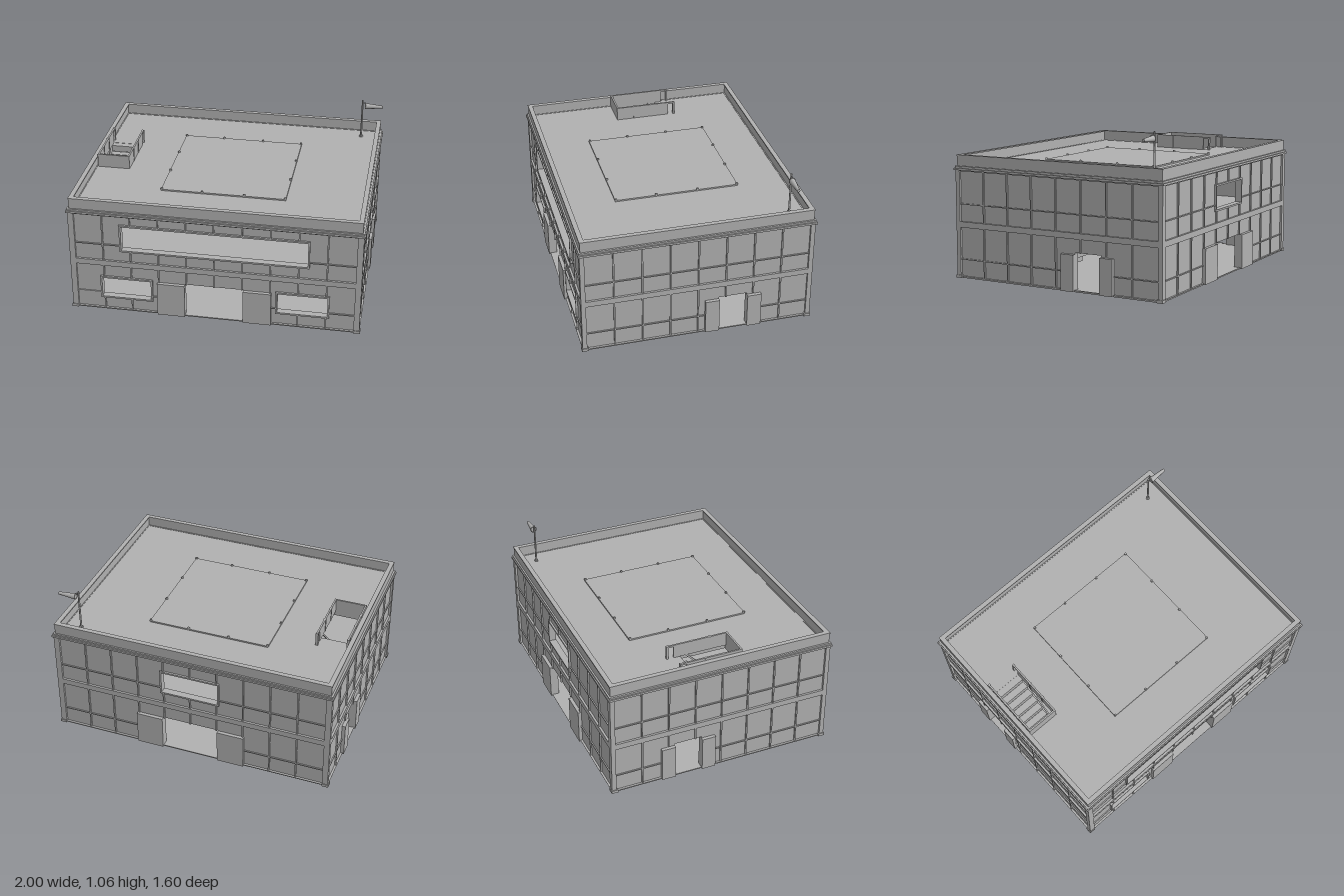
import * as THREE from 'three';

const concrete = new THREE.MeshStandardMaterial({ color: 0xb0b0b0 });
concrete.name = 'concreteGrey';

function add(parent, name, geometry, x = 0, y = 0, z = 0) {
  const mesh = new THREE.Mesh(geometry, concrete);
  mesh.name = name;
  mesh.position.set(x, y, z);
  parent.add(mesh);
  return mesh;
}

// Box given by its minimum and maximum corners
function block(parent, name, x0, x1, y0, y1, z0, z1) {
  return add(parent, name, new THREE.BoxGeometry(x1 - x0, y1 - y0, z1 - z0),
    (x0 + x1) / 2, (y0 + y1) / 2, (z0 + z1) / 2);
}

function rectPath(path, [x0, x1, y0, y1]) {
  path.moveTo(x0, y0);
  path.lineTo(x1, y0);
  path.lineTo(x1, y1);
  path.lineTo(x0, y1);
  path.closePath();
  return path;
}

// Rectangular plate in x-y with rectangular holes, extruded along z
function plate(outer, holes, depth) {
  const shape = rectPath(new THREE.Shape(), outer);
  shape.holes = holes.map(h => rectPath(new THREE.Path(), h));
  return new THREE.ExtrudeGeometry(shape, { depth, bevelEnabled: false });
}

// Horizontal plate: rectangles are [x0, x1, z0, z1]
function slab(parent, name, outer, holes, y0, y1) {
  const flip = ([x0, x1, z0, z1]) => [x0, x1, -z1, -z0];
  const geometry = plate(flip(outer), holes.map(flip), y1 - y0);
  geometry.rotateX(-Math.PI / 2);
  return add(parent, name, geometry, 0, y0, 0);
}

const ring = (parent, name, x, z, t, y0, y1) =>
  slab(parent, name, [-x, x, -z, z], [[-x + t, x - t, -z + t, z - t]], y0, y1);

// Parts of the span a..b left after removing the given gaps
function spans(a, b, gaps) {
  const out = [];
  let start = a;
  for (const [g0, g1] of [...gaps].sort((p, q) => p[0] - q[0])) {
    if (g0 > start) out.push([start, Math.min(g0, b)]);
    start = Math.max(start, g1);
  }
  if (start < b) out.push([start, b]);
  return out;
}

// One facade facing local +z: panel, frame, mullions, door leaves and window frames
function facade({ name, half, dist, angle, margin, bays, door, windows }) {
  const wall = new THREE.Group();
  wall.name = name;
  wall.rotation.y = angle;
  const back = dist - 0.015;
  const doorHole = [door.x - door.half, door.x + door.half, 0.01, door.top];
  const holes = [doorHole, ...windows];
  const inner = half - margin;
  const storeys = [[0.012, 0.35], [0.39, 0.735]];

  add(wall, 'wallPanel', plate([-half + 0.015, half - 0.015, 0, 0.76], holes, 0.035), 0, 0, back - 0.035);
  const leafEnd = door.half + door.leaf;
  const frameHoles = storeys.map(([a, b]) => [-inner, inner, a, b]);
  add(wall, 'wallFrame', plate([-half, half, 0.01, 0.76], frameHoles, 0.015), 0, 0, back);

  // Mullion grid, interrupted at every opening
  const blocked = [[door.x - leafEnd, door.x + leafEnd, 0, door.top], ...windows];
  for (const [y0, y1] of storeys) {
    for (let i = 1; i < bays; i++) {
      const x = -inner + (2 * inner * i) / bays;
      const gaps = blocked.filter(h => x > h[0] && x < h[1]).map(h => [h[2], h[3]]);
      for (const [a, b] of spans(y0, y1, gaps))
        block(wall, 'verticalMullion', x - 0.005, x + 0.005, a, b, back, back + 0.01);
    }
    const y = y0 + (y1 - y0) * 0.35;
    const gaps = blocked.filter(h => y > h[2] && y < h[3]).map(h => [h[0], h[1]]);
    for (const [a, b] of spans(-inner, inner, gaps))
      block(wall, 'horizontalMullion', a, b, y - 0.004, y + 0.004, back, back + 0.008);
  }

  // Sliding door leaves, parked open beside the doorway
  for (const s of [-1, 1]) {
    const a = door.x + s * door.half, b = door.x + s * leafEnd;
    block(wall, 'slidingDoor', Math.min(a, b), Math.max(a, b), 0.002, 0.247, back, dist + 0.009);
  }
  for (const [x0, x1, y0, y1] of windows) {
    const t = 0.012;
    add(wall, 'windowFrame', plate([x0 - t, x1 + t, y0 - t, y1 + t], [[x0, x1, y0, y1]], 0.014), 0, 0, back);
  }
  return wall;
}

// Straight stair rising towards the back, with a guard around its opening
function stair(name, x0, x1, y0, y1) {
  const group = new THREE.Group();
  group.name = name;
  const steps = 8, front = 0.14, run = 0.38 / steps, rise = (y1 - y0) / steps;
  for (let i = 0; i < steps; i++) {
    const z = front - i * run, top = y0 + (i + 1) * rise;
    block(group, 'step', x0 + 0.01, x1 - 0.01, top - rise, top - 0.001, z - run, z);
  }
  const t = 0.012, top = y1 + 0.097;
  block(group, 'frontGuard', x0, x1, y1, top, front, front + t);
  for (const x of [x0, x1 - t]) {
    block(group, 'sideGuard', x, x + t, y1, top, -0.24, front);
    for (const z of [-0.285, -0.11, 0.02])
      block(group, 'guardPost', x - 0.003, x + t + 0.003, y1, top, z - 0.006, z + 0.006);
    block(group, 'guardRail', x, x + t, top - 0.012, top, -0.29, -0.24);
    // Sloping handrail
    const rail = add(group, 'handrail', new THREE.BoxGeometry(0.01, 0.012, Math.hypot(0.38, y1 - y0)),
      x + t / 2, (y0 + y1) / 2 + 0.09, -0.05);
    rail.rotation.x = Math.atan2(y1 - y0, 0.38);
  }
  return group;
}

function windsock() {
  const group = new THREE.Group();
  group.name = 'windsock';
  group.position.set(0.845, 0, -0.655);
  add(group, 'pole', new THREE.CylinderGeometry(0.006, 0.007, 0.295, 12), 0, 0.9125, 0);
  add(group, 'poleFoot', new THREE.CylinderGeometry(0.014, 0.014, 0.012, 12), 0, 0.771, 0);
  const hoop = add(group, 'hoop', new THREE.TorusGeometry(0.021, 0.003, 6, 20), 0.022, 1.018, 0);
  hoop.rotation.y = Math.PI / 2;
  block(group, 'bracket', 0, 0.024, 1.036, 1.042, -0.003, 0.003);
  const sock = add(group, 'sock', new THREE.CylinderGeometry(0.021, 0.01, 0.126, 16), 0.085, 1.015, 0);
  sock.rotation.z = Math.PI / 2;
  return group;
}

export function createModel() {
  const model = new THREE.Group();
  model.name = 'building';

  // Floors and roof, opened for the stairs
  const lowerWell = [0.72, 0.94, -0.24, 0.14], upperWell = [-0.94, -0.72, -0.24, 0.14];
  const plan = [-0.95, 0.95, -0.76, 0.76];
  block(model, 'groundSlab', -0.985, 0.985, 0, 0.01, -0.785, 0.785);
  slab(model, 'upperFloor', plan, [lowerWell], 0.35, 0.39);
  slab(model, 'roof', [-0.975, 0.975, -0.775, 0.775], [upperWell], 0.735, 0.767);

  // Facades
  const mainDoor = { x: 0, half: 0.2, leaf: 0.19, top: 0.25 };
  const main = { half: 0.99, dist: 0.791, margin: 0.04, bays: 10, door: mainDoor };
  const side = { half: 0.791, dist: 0.99, margin: 0.031, bays: 8, windows: [] };
  const sideDoor = x => ({ x, half: 0.097, leaf: 0.097, top: 0.258 });
  model.add(
    facade({ ...main, name: 'frontFacade', angle: 0,
      windows: [[-0.63, 0.63, 0.48, 0.66], [-0.775, -0.435, 0.105, 0.25], [0.43, 0.77, 0.105, 0.25]] }),
    facade({ ...main, name: 'backFacade', angle: Math.PI, windows: [[-0.2, 0.2, 0.48, 0.64]] }),
    facade({ ...side, name: 'leftFacade', angle: Math.PI / 2, door: sideDoor(0.241) }),
    facade({ ...side, name: 'rightFacade', angle: -Math.PI / 2, door: sideDoor(-0.241) }));

  // Corner feet
  for (const x of [-1, 1]) for (const z of [-1, 1])
    add(model, 'cornerFoot', new THREE.BoxGeometry(0.045, 0.02, 0.045), x * 0.9735, 0.01, z * 0.7735);

  // Cornice and parapet
  ring(model, 'corniceRail', 1, 0.8, 0.03, 0.742, 0.756);
  ring(model, 'corniceCap', 0.993, 0.794, 0.04, 0.76, 0.77);
  ring(model, 'parapet', 0.98, 0.783, 0.022, 0.765, 0.838);
  ring(model, 'parapetCoping', 0.982, 0.786, 0.032, 0.836, 0.845);

  // Landing pad with edge lamps
  const pad = new THREE.Group();
  pad.name = 'landingPad';
  model.add(pad);
  block(pad, 'padSlab', -0.43, 0.43, 0.767, 0.777, -0.43, 0.43);
  const circle = add(pad, 'padCircle', new THREE.RingGeometry(0.25, 0.27, 48), 0, 0.778, 0);
  circle.rotation.x = -Math.PI / 2;
  const lamp = new THREE.CylinderGeometry(0.007, 0.009, 0.012, 10);
  const stops = [-0.425, -0.145, 0.145, 0.425];
  for (const x of stops) for (const z of stops)
    if (Math.max(Math.abs(x), Math.abs(z)) > 0.4) add(pad, 'edgeLamp', lamp, x, 0.782, z);

  model.add(stair('lowerStair', 0.72, 0.945, 0.01, 0.39));
  model.add(stair('roofStair', -0.948, -0.72, 0.39, 0.766));
  model.add(windsock());
  return model;
}
